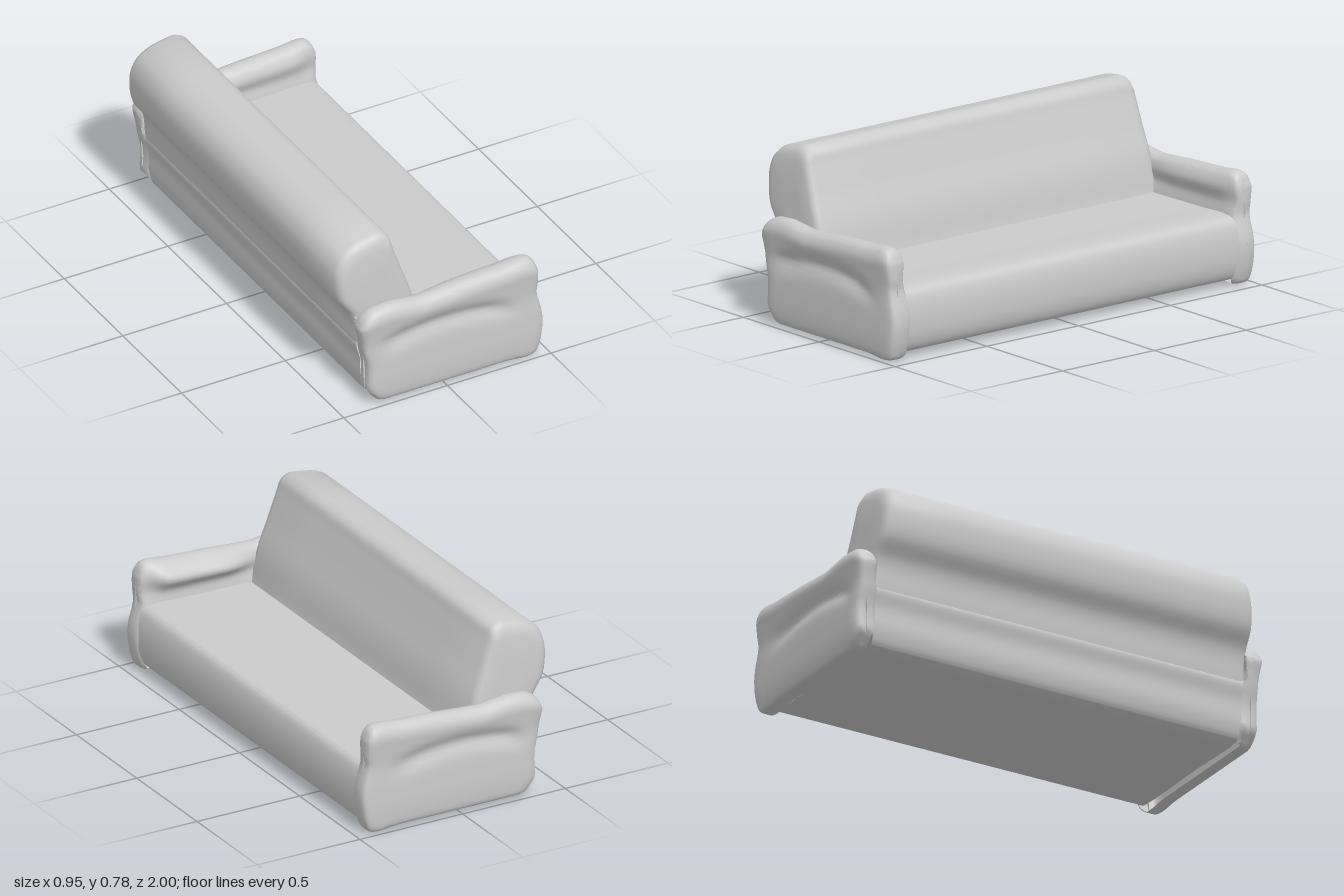
import * as THREE from 'three';
import { toCreasedNormals } from 'three/addons/utils/BufferGeometryUtils.js';

const { lerp, smoothstep, clamp } = THREE.MathUtils;
const material = new THREE.MeshStandardMaterial({ color: 0xcccccc, side: THREE.DoubleSide });
const bell = (d, w) => Math.exp(-(d * d) / (w * w));

// Value at v in a table of [key, value] pairs
function at(table, v) {
  let i = 1;
  while (i < table.length - 1 && table[i][0] < v) i++;
  const [k0, v0] = table[i - 1], [k1, v1] = table[i];
  return lerp(v0, v1, clamp((v - k0) / (k1 - k0), 0, 1));
}

// Closed smooth outline through a few [a, b] points
function outline(points, n) {
  const curve = new THREE.CatmullRomCurve3(
    points.map(([a, b]) => new THREE.Vector3(a, b, 0)), true, 'centripetal');
  return curve.getPoints(n).slice(0, n);
}

// Skin over a row of closed rings, with fan caps; faces buried in a neighbouring part are left out
function loft(name, rings, buried) {
  const n = rings[0].length, last = rings.length - 1;
  const pts = rings.flat(), index = [];
  const centre = ps => ps.reduce((s, p) => s.add(p), new THREE.Vector3()).divideScalar(ps.length);
  const c0 = pts.push(centre(rings[0])) - 1;
  const c1 = pts.push(centre(rings[last])) - 1;
  const face = (...ids) => {
    if (!buried(centre(ids.map(i => pts[i])))) index.push(...ids);
  };
  for (let i = 0; i < n; i++) {
    const j = (i + 1) % n;
    for (let k = 0; k < last; k++) {
      const a = k * n + i, b = k * n + j;
      face(a, b, b + n);
      face(a, b + n, a + n);
    }
    face(c0, j, i);
    face(c1, last * n + i, last * n + j);
  }
  const geometry = new THREE.BufferGeometry().setFromPoints(pts);
  geometry.setIndex(index);
  const mesh = new THREE.Mesh(toCreasedNormals(geometry, 0.8), material);
  mesh.name = name;
  return mesh;
}

// Side profile (x, y, counter-clockwise) run across the width with rounded ends
function cushion(name, points, cx, cy, halfWidth, taper, buried) {
  const profile = outline(points, points.length * 4);
  const ends = [[1, 0.3], [1, 0.76], [0.994, 0.88], [0.98, 0.96], [0.955, 1], [0.6, 1], [0.25, 1]];
  const stations = [...ends.map(([z, s]) => [-z, s]), ...ends.reverse()];
  return loft(name, stations.map(([z, s]) => profile.map(p => {
    const y = cy + (p.y - cy) * s;
    return new THREE.Vector3(cx + (p.x - cx) * s, y, z * (halfWidth - taper * Math.max(0, y - 0.3)));
  })), buried);
}

// Arm top height along x, and arm end positions by height
const armTop = [[-0.41, 0.435], [-0.37, 0.458], [-0.33, 0.468], [-0.25, 0.474], [-0.18, 0.466], [-0.11, 0.457],
  [0, 0.464], [0.1, 0.472], [0.3, 0.481], [0.38, 0.491], [0.42, 0.49], [0.45, 0.475]];
const armFront = [[0, 0.43], [0.03, 0.448], [0.07, 0.462], [0.12, 0.471], [0.17, 0.474], [0.22, 0.468],
  [0.27, 0.454], [0.31, 0.445], [0.36, 0.45], [0.43, 0.449], [0.46, 0.438], [0.49, 0.42]];
const armRear = [[0, -0.32], [0.03, -0.335], [0.08, -0.372], [0.14, -0.366], [0.2, -0.368],
  [0.27, -0.385], [0.35, -0.395], [0.43, -0.405], [0.46, -0.39], [0.49, -0.35]];

// Arm: upright panel with a rolled top and a crease below the roll outside
function arm(name, side, lobe) {
  const section = outline([[0.89, 0.02], [0.885, 0.12], [0.885, 0.24], [0.893, 0.31], [0.905, 0.36], [0.9, 0.42],
    [0.912, 0.465], [0.945, 0.48], [0.978, 0.468], [0.997, 0.43], [0.993, 0.37], [0.987, 0.3],
    [0.991, 0.2], [0.991, 0.06], [0.98, 0.016], [0.95, 0.009]], 64);
  const stations = [[0, 0], [0, 0.5], [0.008, 0.76], [0.022, 0.91], [0.05, 1]];
  for (let i = 1; i < 24; i++) stations.push([0.05 + i * 0.9 / 24, 1]);
  stations.push([0.95, 1], [0.978, 0.95], [0.992, 0.85], [1, 0.65], [1, 0]);
  const rings = stations.map(([t, s]) => section.map(p => {
    let y = 0.24 + (p.y - 0.24) * (1 - (1 - Math.max(s, 0.5)) * 0.16);
    const x = lerp(at(armRear, y), at(armFront, y), t);
    y += (at(armTop, x) - 0.48) * smoothstep(p.y, 0.28, 0.47);
    y -= 0.009 * smoothstep(t, 0.8, 0.93) * (1 - smoothstep(p.y, 0, 0.1));
    let z = 0.945 + (p.x - 0.945) * s;
    const along = smoothstep(x, -0.34, -0.22) * (1 - smoothstep(x, 0.2, 0.38));
    if (p.x > 0.945) z -= 0.02 * along * bell(y - (0.325 - 0.5 * x * x), 0.036);
    else z -= lobe * s * smoothstep(x, -0.15, 0.08) * (1 - smoothstep(x, 0.34, 0.43)) * bell(p.y - 0.41, 0.05);
    return new THREE.Vector3(x, y, z * side);
  }));
  if (side < 0) rings.forEach(r => r.reverse());
  // The inner wall stops where it meets the seat and the backrest
  return loft(name, rings, p => {
    const inside = Math.abs(p.z) < 0.92;
    const end = Math.abs(p.x - 0.035) > (p.y < 0.29 ? 0.39 : 0.425);
    return inside && !end && (p.y < 0.285 || (p.x < -0.14 && p.y < 0.41));
  });
}

export function createModel() {
  const sofa = new THREE.Group();
  sofa.name = 'sofa';

  // Seat and base in one block, bulging at the front, open towards arms and backrest
  sofa.add(cushion('seatBase', [[-0.33, 0.026], [0, 0.026], [0.41, 0.026], [0.435, 0.035], [0.458, 0.08],
    [0.467, 0.16], [0.46, 0.24], [0.444, 0.285], [0.42, 0.302], [0.2, 0.302], [-0.08, 0.298],
    [-0.36, 0.3], [-0.383, 0.28], [-0.367, 0.2], [-0.363, 0.1], [-0.345, 0.04]], 0.04, 0.16, 0.945, 0,
  p => Math.abs(p.z) > 0.904 || (p.y > 0.285 && p.x < -0.085)));

  // Thick leaning backrest, overhanging the base at the rear, open below the seat
  sofa.add(cushion('backrest', [[-0.365, 0.2], [-0.2, 0.18], [-0.07, 0.23], [-0.083, 0.3], [-0.11, 0.45],
    [-0.155, 0.58], [-0.195, 0.7], [-0.215, 0.755], [-0.255, 0.778], [-0.3, 0.774], [-0.38, 0.755],
    [-0.44, 0.715], [-0.468, 0.66], [-0.474, 0.6], [-0.458, 0.5], [-0.41, 0.425], [-0.395, 0.38],
    [-0.383, 0.28]], -0.27, 0.5, 0.925, 0.06,
  p => p.y < 0.282 || (Math.abs(p.z) > 0.905 && p.y < 0.42)));

  sofa.add(arm('leftSideArm', 1, 0.05), arm('rightSideArm', -1, 0.015));
  return sofa;
}
